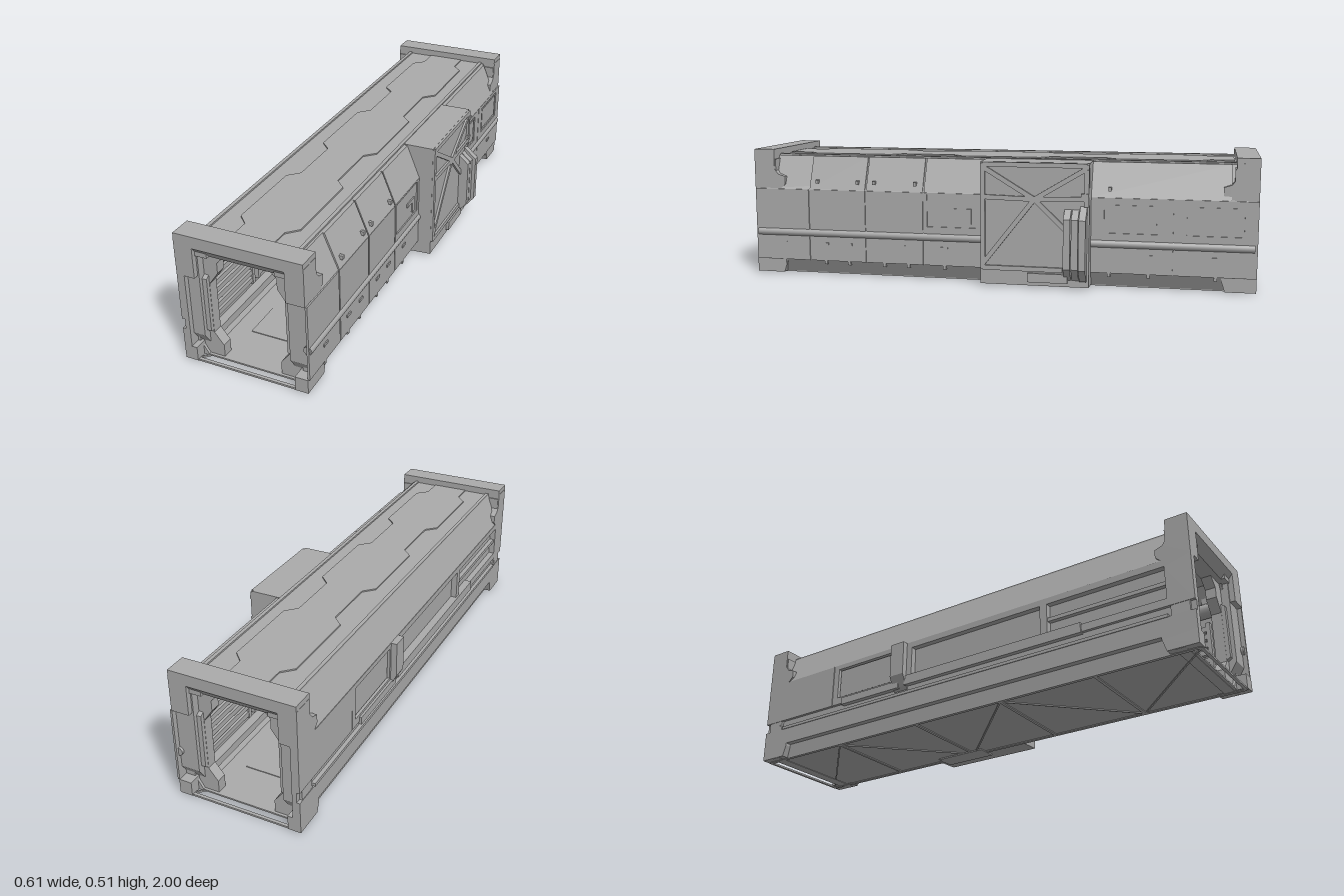
import * as THREE from 'three';

const CX = -0.045; // centre line of the tunnel

export function createModel() {
  const model = new THREE.Group();
  const grey = new THREE.MeshStandardMaterial({ color: 0xaaaaaa });
  grey.name = 'hull grey';

  const add = (name, geo) => {
    const m = new THREE.Mesh(geo, grey);
    m.name = name;
    model.add(m);
    return m;
  };
  const vecs = pts => pts.map(p => new THREE.Vector2(p[0], p[1]));
  const extrude = (pts, depth, hole) => {
    const s = new THREE.Shape(vecs(pts));
    if (hole) s.holes.push(new THREE.Path(vecs(hole)));
    return new THREE.ExtrudeGeometry(s, { depth, bevelEnabled: false });
  };
  // outline in x,y swept along z
  const prismZ = (name, pts, z0, z1, hole) =>
    add(name, extrude(pts, z1 - z0, hole).translate(0, 0, z0));
  // outline in z,y swept along x
  const prismX = (name, pts, x0, x1, hole) =>
    add(name, extrude(pts, x1 - x0, hole).rotateY(-Math.PI / 2).translate(x1, 0, 0));
  // outline in x,z swept along y
  const prismY = (name, pts, y0, y1) =>
    add(name, extrude(pts, y1 - y0).rotateX(Math.PI / 2).translate(0, y1, 0));
  const box = (name, x0, x1, y0, y1, z0, z1) =>
    add(name, new THREE.BoxGeometry(x1 - x0, y1 - y0, z1 - z0)
      .translate((x0 + x1) / 2, (y0 + y1) / 2, (z0 + z1) / 2));
  const rect = (a0, a1, b0, b1) => [[a0, b0], [a1, b0], [a1, b1], [a0, b1]];
  const strip = (a, b, w) => {
    const dx = b[0] - a[0], dy = b[1] - a[1], k = w / 2 / Math.hypot(dx, dy);
    const n = [-dy * k, dx * k];
    return [[a[0] - n[0], a[1] - n[1]], [b[0] - n[0], b[1] - n[1]],
      [b[0] + n[0], b[1] + n[1]], [a[0] + n[0], a[1] + n[1]]];
  };
  const mirrored = half => [
    ...half.map(([x, y]) => [CX + x, y]),
    ...half.slice().reverse().map(([x, y]) => [CX - x, y])];

  // Tunnel shell; the -x wall is set back to carry recessed panels
  const outer = [[0.165, 0.006], [0.195, 0.06], [0.195, 0.35], [0.14, 0.482],
    [-0.232, 0.482], [-0.282, 0.35], [-0.26, 0.345], [-0.26, 0.06], [-0.255, 0.006]];
  const inner = mirrored([[0.17, 0.012], [0.2, 0.06], [0.2, 0.33], [0.15, 0.44]]);
  prismZ('shell', outer, -0.96, 0.96, inner);

  // End frames
  const opening = mirrored([[0.112, 0.008], [0.112, 0.06], [0.147, 0.105], [0.147, 0.305],
    [0.112, 0.355], [0.112, 0.395], [0.078, 0.43]]);
  const frameOuter = mirrored([[0.236, 0.004], [0.236, 0.47]]);
  for (const s of [1, -1]) {
    const span = (a, b) => (s > 0 ? [a, b] : [-b, -a]);
    const flip = pts => pts.map(([z, y]) => [z * s, y]);
    prismZ('endFrame', frameOuter, ...span(0.91, 0.95), opening);
    prismX('topBeam', flip([[0.915, 0.43], [0.97, 0.43], [1, 0.466], [1, 0.51], [0.915, 0.51]]),
      -0.283, 0.193);
    for (const side of [1, -1]) {
      const across = (a, b) => (side > 0 ? [CX + a, CX + b] : [CX - b, CX - a]);
      prismX('column', flip([[0.92, 0.06], [0.95, 0.06], [0.98, 0.105], [0.98, 0.44], [0.92, 0.44]]),
        ...across(0.165, 0.237));
      prismX('innerColumn', flip([[0.92, 0.09], [0.965, 0.12], [0.965, 0.33], [0.92, 0.36]]),
        ...across(0.148, 0.165));
      prismX('cornerBracket', flip([[1, 0.35], [1, 0.49], [0.915, 0.49], [0.915, 0.43],
        [0.9, 0.41], [0.87, 0.4], [0.87, 0.37], [0.89, 0.35]]), ...across(0.17, 0.239));
      prismX('cornerLeg', flip([[0.87, 0.05], [0.885, 0.005], [1, 0.005], [1, 0.06], [0.87, 0.06]]),
        ...across(0.19, 0.239));
    }
    // pads on the beam underside
    for (const x of [CX - 0.155, CX + 0.155])
      box('beamPad', x - 0.03, x + 0.03, 0.43, 0.468, ...span(0.94, 0.985));
  }

  // Roof: zigzag centre plate and edge rails
  const half = [];
  for (const z of [-0.62, 0, 0.62]) half.push([0.075, z - 0.2], [0.115, z - 0.16], [0.115, z + 0.16], [0.075, z + 0.2]);
  const roofHalf = [[0.075, -0.91], ...half, [0.075, 0.91]];
  prismY('roofPlate', mirrored(roofHalf), 0.48, 0.487);
  for (const x of [-0.225, 0.125])
    box('roofRail', x - 0.007, x + 0.007, 0.478, 0.488, -0.915, 0.915);

  // +x wall: cladding plates separated by seams
  const seams = [1, 0.765, 0.525, 0.285, 0.04];
  for (let i = 0; i < 4; i++) {
    const z0 = seams[i + 1] + 0.003, z1 = seams[i] - 0.003;
    const hole = i === 3 ? rect(0.06, 0.27, 0.215, 0.343) : undefined;
    prismX('sidePlate', rect(z0, z1, 0.06, 0.35), 0.192, 0.2, hole);
    if (z1 < 0.9)
      prismZ('shoulderPlate', [[0.193, 0.352], [0.2, 0.352], [0.147, 0.482], [0.138, 0.482]], z0, z1);
  }
  prismX('recessStep', [[0.09, 0.23], [0.11, 0.23], [0.11, 0.275], [0.16, 0.275], [0.16, 0.29], [0.09, 0.29]],
    0.193, 0.2);
  for (const [z0, z1, h0, h1] of [[-0.69, -0.38, -0.64, -0.43], [-1, -0.694, -0.95, -0.74]]) {
    prismX('sidePlate', rect(z0, z1, 0.06, 0.35), 0.192, 0.2, rect(h0, h1, 0.215, 0.335));
    prismX('windowPanel', rect(h0 + 0.012, h1 - 0.012, 0.227, 0.323), 0.192, 0.198);
  }
  prismZ('shoulderPlate', [[0.193, 0.352], [0.2, 0.352], [0.147, 0.482], [0.138, 0.482]], -0.9, -0.38);
  for (const [z0, z1] of [[0.04, 0.99], [-0.99, -0.38]])
    add('sidePipe', new THREE.CylinderGeometry(0.016, 0.016, z1 - z0, 12)
      .rotateX(Math.PI / 2).translate(0.192, 0.173, (z0 + z1) / 2));
  for (const z of [0.88, 0.7, 0.6, 0.45, 0.35, 0.2, -0.45, -0.6, -0.85]) {
    box('clip', 0.198, 0.204, 0.125, 0.135, z - 0.015, z + 0.015);
    box('skirtBracket', 0.17, 0.199, 0.045, 0.062, z - 0.006, z + 0.006);
  }
  for (const z of [0.73, 0.56, 0.49, 0.32, -0.45])
    box('shoulderStud', 0.185, 0.2, 0.375, 0.39, z - 0.006, z + 0.006);

  // +x equipment box with braced cover
  prismZ('equipmentBox', [[0.13, 0.485], [0.253, 0.485], [0.253, 0.01], [0.17, 0.006]], -0.38, 0.04);
  const mid = [-0.17, 0.345];
  const braces = [[[0.03, 0.465], mid], [[-0.37, 0.465], mid], [[0.03, 0.09], mid], [[-0.29, 0.23], mid],
    [[0.03, 0.475], [-0.37, 0.475]], [[0.03, 0.075], [-0.28, 0.075]], [[0.03, 0.35], mid], [mid, [-0.37, 0.35]],
    [[0.03, 0.07], [0.03, 0.48]], [[-0.37, 0.32], [-0.37, 0.48]]];
  for (const [a, b] of braces) prismX('coverBrace', strip(a, b, 0.018), 0.25, 0.262);
  for (const y of [0.455, 0.365]) box('coverLatch', 0.25, 0.266, y - 0.006, y + 0.006, -0.378, -0.35);

  // Bent ducts on the cover and their base
  const duct = [[0.25, 0.325], [0.265, 0.31], [0.305, 0.275], [0.305, 0.085], [0.265, 0.035], [0.25, 0.035]];
  const ductSlim = duct.map(([x, y]) => [x > 0.26 ? x - 0.013 : x, y]);
  prismZ('duct', duct, -0.372, -0.346);
  prismZ('duct', ductSlim, -0.342, -0.316);
  prismZ('duct', ductSlim, -0.312, -0.286);
  box('ductBase', 0.25, 0.266, 0.025, 0.06, -0.3, -0.145);
  box('underBox', 0.12, 0.2, 0.001, 0.03, -0.36, -0.14);

  // -x wall: solid rear half, open recessed bays toward the front
  const L0 = -0.284, L1 = -0.255;
  box('rearWall', L0, L1, 0.17, 0.35, -1, -0.62);
  prismX('rearWallFrame', rect(-0.617, -0.27, 0.17, 0.35), L0, L1, rect(-0.59, -0.3, 0.2, 0.33));
  box('rearWallPanel', L0 + 0.008, L1, 0.205, 0.325, -0.585, -0.305);
  box('lowerWall', L0, L1, 0.06, 0.13, -1, 1);
  box('lowerChannel', L0 + 0.012, L1, 0.13, 0.17, -1, 1);
  prismX('bayFrame', rect(-0.27, 1, 0.17, 0.35), L0, L1, rect(-0.2, 0.9, 0.2, 0.325));
  box('bayPost', L0, L1, 0.2, 0.325, 0.4, 0.43);
  box('baySill', -0.291, L1, 0.165, 0.205, -0.23, 0.57);
  box('bayRail', L0 + 0.006, L1, 0.255, 0.27, 0.43, 0.9);
  box('bottomRail', -0.287, L1, 0.128, 0.14, -0.9, 0.9);
  prismZ('wallConduit', [[-0.27, 0.15], [-0.284, 0.165], [-0.307, 0.21], [-0.307, 0.35], [-0.27, 0.35]],
    -0.29, -0.225);
  box('conduitFoot', -0.293, L1, 0.16, 0.19, -0.56, -0.26);

  // Underside: raised border, cross ribs and diagonal braces
  const under = (a, b, w) => prismY('floorRib', strip(a, b, w), 0.002, 0.009);
  for (const x of [-0.248, 0.158]) under([x, -0.99], [x, 0.99], 0.014);
  for (let i = 0; i <= 5; i++) {
    const z = -0.99 + i * 0.396;
    under([-0.25, z], [0.16, z], 0.012);
    if (i < 5) {
      const d = i % 2 ? 1 : -1;
      under([CX - 0.2 * d, z], [CX + 0.2 * d, z + 0.396], 0.006);
    }
  }

  // Interior: pipes, slatted wall panels, ceiling ribs and floor grating
  for (const s of [1, -1]) {
    add('innerPipe', new THREE.CylinderGeometry(0.028, 0.028, 1.84, 14)
      .rotateX(Math.PI / 2).translate(CX + s * 0.178, 0.345, 0));
    box('innerLedge', CX + s * 0.185 - 0.018, CX + s * 0.185 + 0.018, 0.045, 0.075, -0.91, 0.91);
    for (let p = 0; p < 6; p++) {
      const z = -0.75 + p * 0.3, x = CX + s * 0.192;
      for (const e of [-0.13, 0.13])
        box('panelEdge', x - 0.01, x + 0.01, 0.095, 0.3, z + e - 0.008, z + e + 0.008);
      for (let k = 0; k < 6; k++)
        box('wallSlat', x - 0.008, x + 0.008, 0.105 + k * 0.032, 0.125 + k * 0.032, z - 0.125, z + 0.125);
    }
  }
  for (let i = 0; i < 5; i++) {
    const z = -0.66 + i * 0.33;
    box('ceilingRib', CX - 0.15, CX + 0.15, 0.43, 0.445, z - 0.02, z + 0.02);
    box('floorStrip', CX - 0.1, CX + 0.1, 0.01, 0.015, z - 0.13, z + 0.13);
  }
  return model;
}
